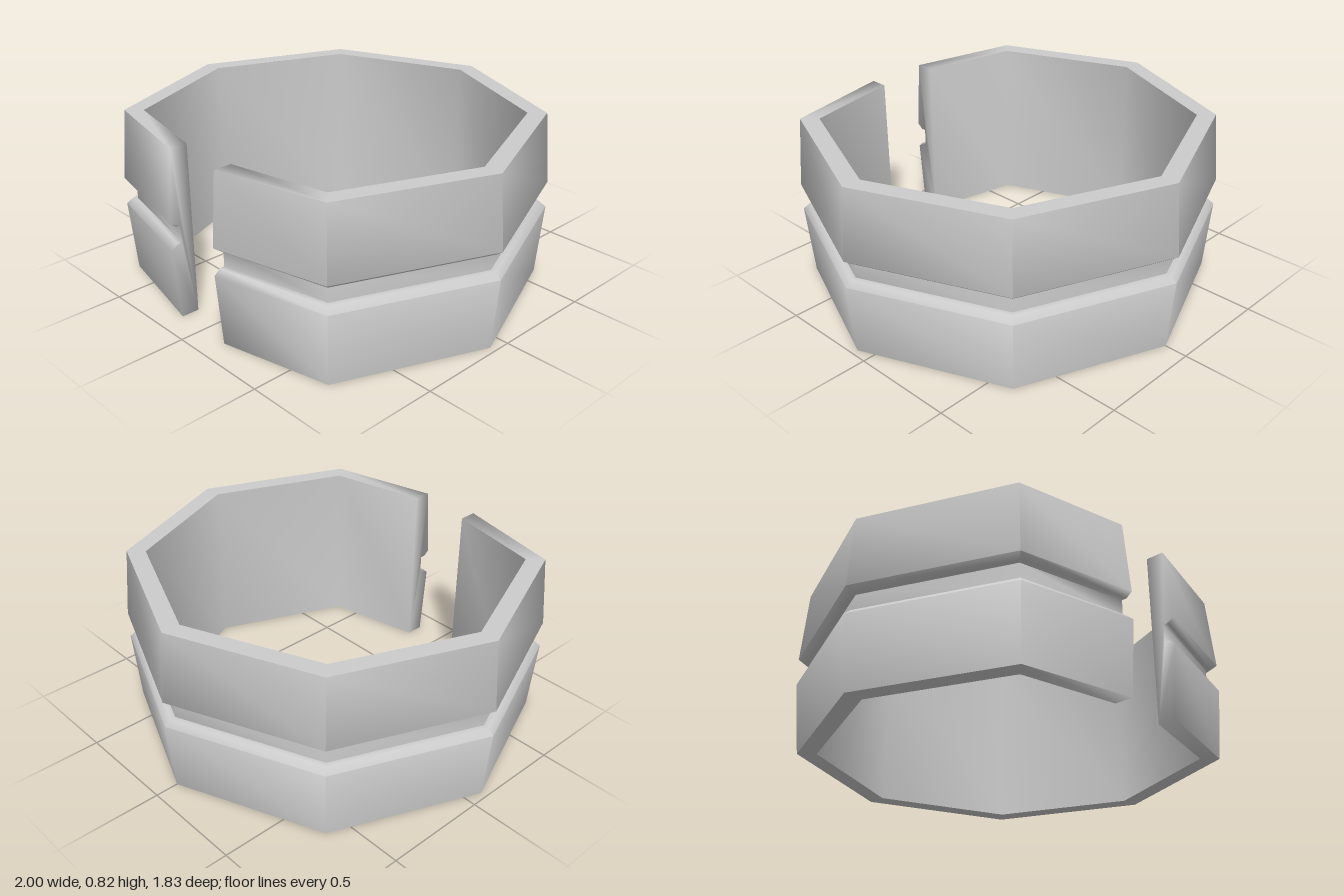
import * as THREE from 'three';
import { toCreasedNormals } from 'three/addons/utils/BufferGeometryUtils.js';

// Wall cross-section as [radius, height], counter-clockwise from the inner bottom
const PROFILE = [
  [0.88, 0], [0.97, 0], [1, 0.345], [0.97, 0.372], [0.945, 0.372],
  [0.945, 0.455], [0.97, 0.455], [1, 0.477], [0.97, 0.82], [0.88, 0.82],
];
const CENTRE_Z = 0.08;
const END = 4; // stations run from -END to END around the back

// Octagon corners, with the front corner replaced by two straight-cut ends
function stationPoint(k, [r, y]) {
  if (Math.abs(k) === END) return [Math.sign(k) * 0.152, y, 0.8 + (r - 0.88) * 0.95];
  const a = k * Math.PI / 4;
  return [r * Math.sin(a), y, CENTRE_Z - r * Math.cos(a)];
}

function cuffGeometry() {
  const n = PROFILE.length;
  const positions = [];
  const index = [];
  for (let k = -END; k <= END; k++) {
    for (const p of PROFILE) positions.push(...stationPoint(k, p));
  }
  // Walls between neighbouring sections
  for (let s = 0; s < 2 * END; s++) {
    for (let i = 0; i < n; i++) {
      const j = (i + 1) % n;
      const a = s * n + i, d = s * n + j, b = a + n, c = d + n;
      index.push(a, d, c, a, c, b);
    }
  }
  // Flat caps on either side of the opening
  const last = 2 * END * n;
  const contour = PROFILE.map(([r, y]) => new THREE.Vector2(r, y));
  for (const [a, b, c] of THREE.ShapeUtils.triangulateShape(contour, [])) {
    index.push(a, c, b, last + a, last + b, last + c);
  }
  const indexed = new THREE.BufferGeometry();
  indexed.setAttribute('position', new THREE.Float32BufferAttribute(positions, 3));
  indexed.setIndex(index);
  indexed.computeVertexNormals();

  // Smooth around the ring, sharp at the rims, softened at the two ends
  const smooth = indexed.getAttribute('normal');
  const geometry = toCreasedNormals(indexed.toNonIndexed(), Math.PI / 3);
  const normal = geometry.getAttribute('normal');
  index.forEach((v, j) => {
    if (v < n || v >= last) normal.setXYZ(j, smooth.getX(v), smooth.getY(v), smooth.getZ(v));
  });
  return geometry;
}

export function createModel() {
  const group = new THREE.Group();
  group.name = 'openCuff';
  const grey = new THREE.MeshStandardMaterial({ color: 0xcccccc });
  grey.name = 'light grey';
  const band = new THREE.Mesh(cuffGeometry(), grey);
  band.name = 'groovedBand';
  group.add(band);
  return group;
}
